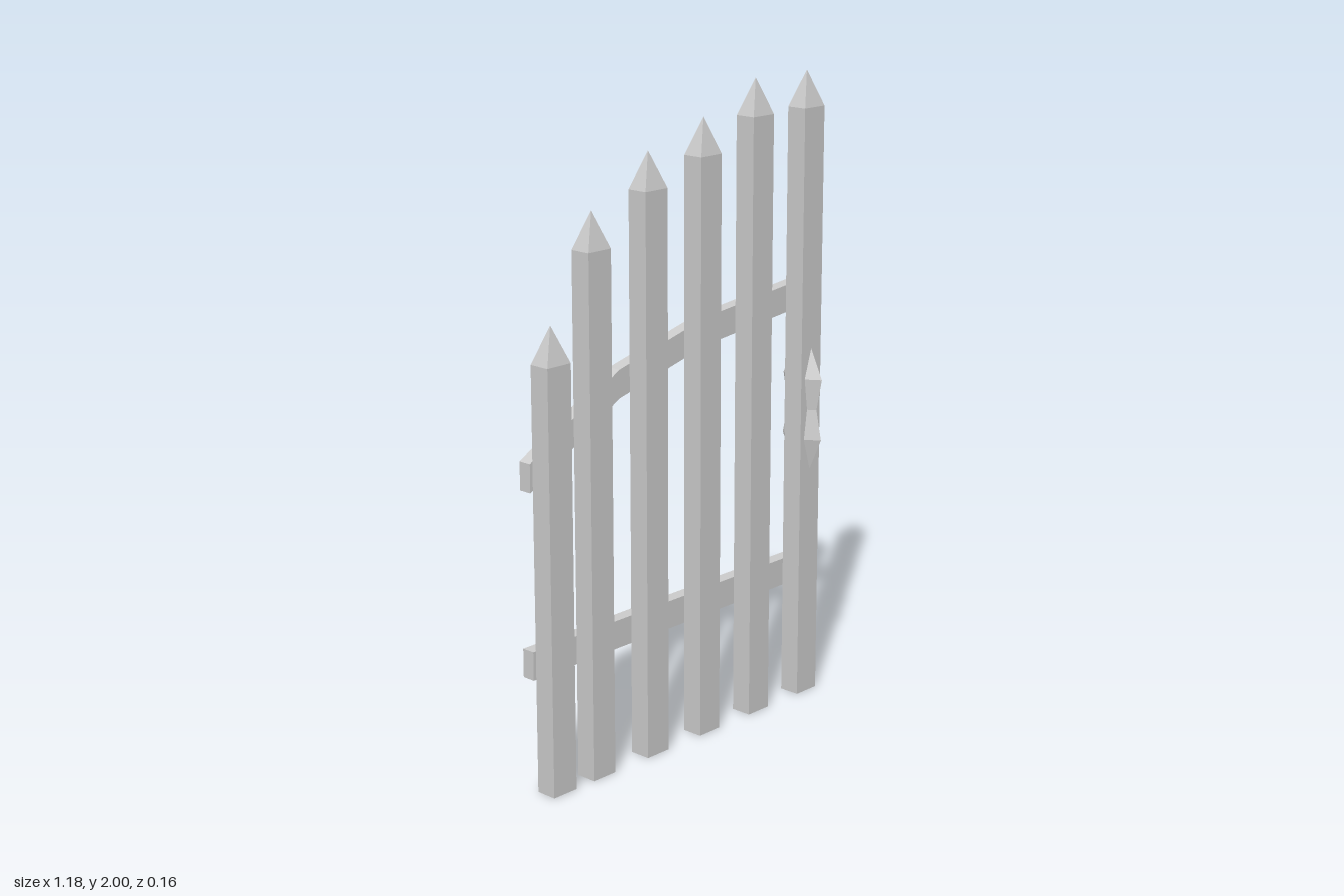
import * as THREE from 'three';

const material = new THREE.MeshStandardMaterial({ color: 0xcccccc, flatShading: true });
const PICKET_W = 0.09, PICKET_D = 0.067;

const vectors = (pairs) => pairs.map(([x, y]) => new THREE.Vector2(x, y));

function addMesh(parent, name, geometry) {
  const mesh = new THREE.Mesh(geometry, material);
  mesh.name = name;
  parent.add(mesh);
  return mesh;
}

// Rectangular post with a four-sided point
function picketGeometry(top) {
  const r = Math.SQRT1_2;
  const profile = vectors([[0, 0], [r, 0], [r, top - 0.11], [0, top]]);
  return new THREE.LatheGeometry(profile, 4, Math.PI / 4).scale(PICKET_W, 1, PICKET_D);
}

// Rail of constant height following its lower edge
function railGeometry(lower, height) {
  const upper = lower.map(([x, y]) => [x, y + height]).reverse();
  const shape = new THREE.Shape(vectors([...lower, ...upper]));
  return new THREE.ExtrudeGeometry(shape, { depth: 0.042, bevelEnabled: false }).translate(0, 0, -0.082);
}

export function createModel() {
  const gate = new THREE.Group();
  gate.name = 'picketGate';

  // Pickets: x position and tip height
  const pickets = [[-0.541, 1.4], [-0.378, 1.7], [-0.149, 1.84], [0.081, 1.91], [0.309, 2], [0.541, 2]];
  pickets.forEach(([x, top], i) => {
    addMesh(gate, `picket${i + 1}`, picketGeometry(top)).position.x = x;
  });

  // Rails behind the pickets
  addMesh(gate, 'lowerRail', railGeometry([[-0.59, 0.348], [0.59, 0.354]], 0.088));
  addMesh(gate, 'upperRail', railGeometry([[-0.59, 0.915], [-0.23, 1.12], [0.13, 1.21], [0.59, 1.258]], 0.086));

  // Faceted handles on both faces of the tallest end picket
  const handleProfile = vectors([[0, 0.75], [0.029, 0.85], [0.016, 0.945], [0.029, 1.045], [0, 1.14]]);
  for (const [name, side] of [['frontHandle', 1], ['backHandle', -1]]) {
    const geometry = new THREE.LatheGeometry(handleProfile, 2, -Math.PI / 2, Math.PI).scale(1, 1, 1.55);
    const handle = addMesh(gate, name, geometry);
    handle.position.set(0.541, 0, side * PICKET_D / 2);
    handle.rotation.y = side > 0 ? 0 : Math.PI;
  }

  return gate;
}
